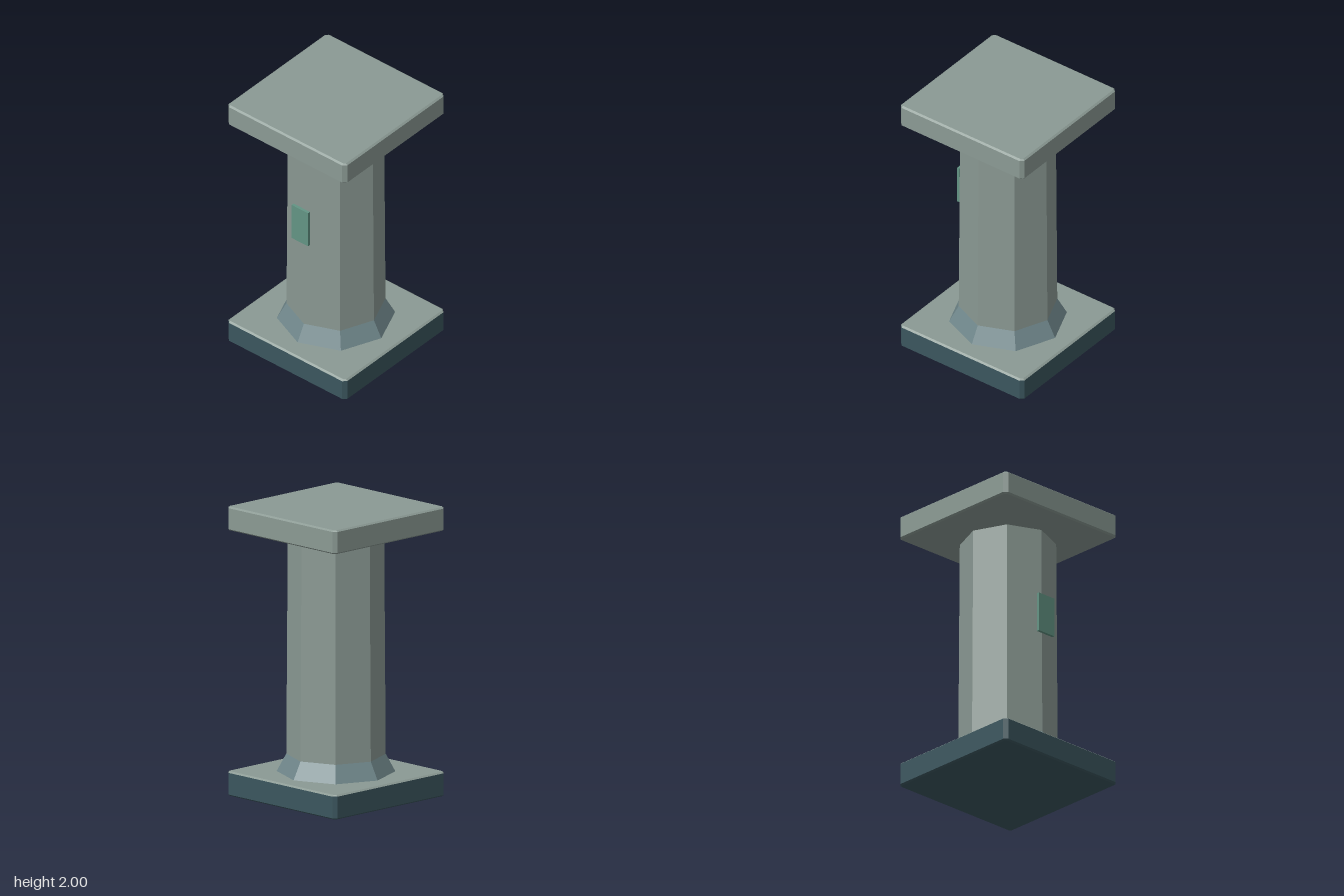
import * as THREE from 'three';

const STONE = 0x8b9a94, DARK = 0x3b565e, FLARE = 0x6f868a, PLAQUE = 0x639484;

const HALF = 0.525;    // slab half width
const FLAT = 0.5;      // where the corner cut starts
const INSET = 0.512;   // half width of the slab's top and bottom faces
const BEVEL = 0.01;    // bevel height

function addMesh(parent, name, geometry, color) {
  const material = new THREE.MeshStandardMaterial({ color, flatShading: true });
  const mesh = new THREE.Mesh(geometry, material);
  mesh.name = name;
  parent.add(mesh);
  return mesh;
}

// Square ring with cut corners, running from +z towards +x
function ring(half, y) {
  const points = [];
  for (let i = 0; i < 4; i++) {
    const c = Math.round(Math.cos(i * Math.PI / 2)), s = Math.round(Math.sin(i * Math.PI / 2));
    for (const along of [-FLAT, FLAT]) {
      points.push(new THREE.Vector3(s * half + c * along, y, c * half - s * along));
    }
  }
  return points;
}

// Joins [half, y] rings from bottom to top; half = 0 closes to the centre
function loftRings(levels) {
  const corners = [];
  for (let l = 0; l + 1 < levels.length; l++) {
    const [h0, y0] = levels[l], [h1, y1] = levels[l + 1];
    const low = h0 ? ring(h0, y0) : Array(8).fill(new THREE.Vector3(0, y0, 0));
    const high = h1 ? ring(h1, y1) : Array(8).fill(new THREE.Vector3(0, y1, 0));
    for (let i = 0; i < 8; i++) {
      const j = (i + 1) % 8;
      if (h0) corners.push(low[i], low[j], high[i]);
      if (h1) corners.push(low[j], high[j], high[i]);
    }
  }
  const geometry = new THREE.BufferGeometry().setFromPoints(corners);
  geometry.computeVertexNormals();
  return geometry;
}

// Bevelled slab: body and top face may differ in colour
function slab(name, bottom, top, bodyColor, topColor) {
  const group = new THREE.Group();
  group.name = name;
  addMesh(group, name + 'Body', loftRings([
    [0, bottom], [INSET, bottom], [HALF, bottom + BEVEL], [HALF, top - BEVEL],
  ]), bodyColor);
  addMesh(group, name + 'Top', loftRings([
    [HALF, top - BEVEL], [INSET, top], [0, top],
  ]), topColor);
  return group;
}

function octagon(profile) {
  return new THREE.LatheGeometry(profile.map(([r, y]) => new THREE.Vector2(r, y)), 8);
}

export function createModel() {
  const model = new THREE.Group();
  model.name = 'pillar';

  // Square base and floating cap
  model.add(slab('base', 0, 0.17, DARK, STONE));
  model.add(slab('cap', 1.835, 2, STONE, STONE));

  // Eight-sided foot and gently tapering shaft
  addMesh(model, 'flaredFoot', octagon([[0.4, 0.17], [0.335, 0.29]]), FLARE);
  addMesh(model, 'shaft', octagon([[0.335, 0.29], [0.325, 1.79], [0, 1.79]]), STONE);

  // Thin plaque in front of the shaft
  const plaque = addMesh(model, 'plaque', new THREE.BoxGeometry(0.144, 0.28, 0.02), PLAQUE);
  plaque.position.set(0, 1.146, 0.366);

  return model;
}
